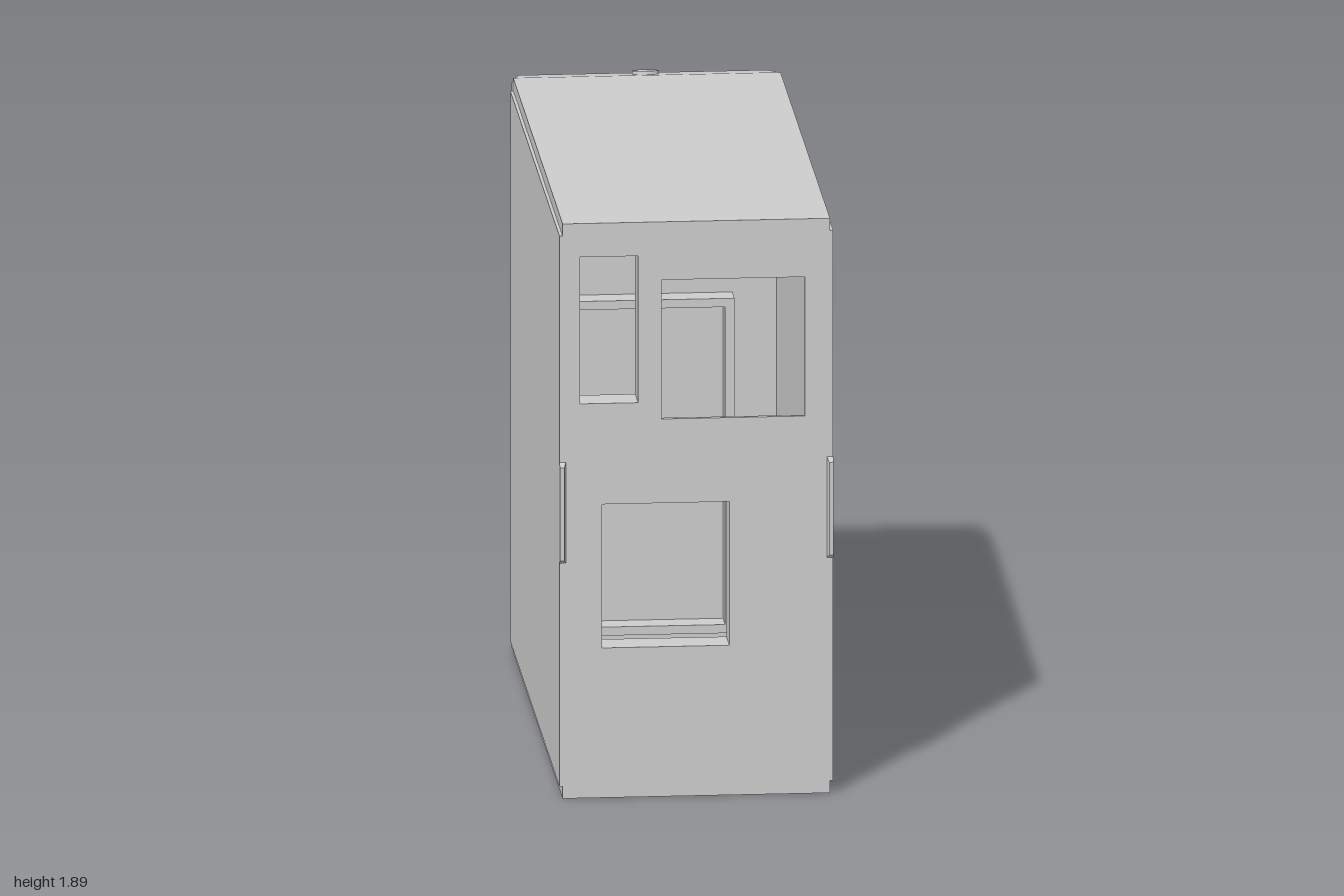
import * as THREE from 'three';

const mat = new THREE.MeshStandardMaterial({ color: 0xcccccc, flatShading: true });

export function createModel() {
  const root = new THREE.Group();
  root.name = 'computerCase';

  const add = (name, geo, x = 0, y = 0, z = 0) => {
    const m = new THREE.Mesh(geo, mat);
    m.name = name;
    m.position.set(x, y, z);
    root.add(m);
    return m;
  };
  // box given by its limits on each axis
  const box = (name, [x0, x1], [y0, y1], [z0, z1]) =>
    add(name, new THREE.BoxGeometry(x1 - x0, y1 - y0, z1 - z0), (x0 + x1) / 2, (y0 + y1) / 2, (z0 + z1) / 2);
  const rect = ([x0, x1, y0, y1], g = 0) => [
    [x0 - g, y0 - g], [x1 + g, y0 - g], [x1 + g, y1 + g], [x0 - g, y1 + g],
  ].map(p => new THREE.Vector2(...p));
  // flat outline with holes, extruded towards +z
  const plate = (outline, holes, depth) => {
    const s = new THREE.Shape(outline);
    holes.forEach(h => s.holes.push(new THREE.Path(rect(h))));
    return new THREE.ExtrudeGeometry(s, { depth, bevelEnabled: false });
  };

  // hollow chassis
  box('topShell', [-0.425, 0.425], [1.84, 1.88], [-0.87, 0.965]);
  box('bottomShell', [-0.425, 0.425], [0, 0.04], [-0.87, 0.965]);
  box('innerFrontWall', [-0.41, 0.41], [0.04, 1.84], [-0.87, -0.85]);

  // wall with the connector, fan and power openings
  const slot = [-0.37, -0.185, 1.29, 1.77];
  const fanOpening = [-0.11, 0.345, 1.235, 1.69];
  const powerOpening = [-0.3, 0.105, 0.49, 0.96];
  add('connectorWall', plate(rect([-0.425, 0.425, 0, 1.88]), [slot, fanOpening, powerOpening], 0.015), 0, 0, 0.965);
  for (const h of [slot, powerOpening])
    add('openingLip', plate(rect(h, 0.01), [h], 0.1), 0, 0, 0.87);

  // side walls, raised side panels and their pull tabs
  for (const s of [-1, 1]) {
    const span = (a, b) => (s > 0 ? [a, b] : [-b, -a]);
    box('sideWall', span(0.41, 0.425), [0.04, 1.84], [-0.87, 0.965]);
    box('sidePanel', span(0.425, 0.435), [0.04, 1.84], [-0.86, 0.98]);
    const tab = new THREE.BoxGeometry(0.02, 0.33, 0.02);
    const p = tab.attributes.position;
    for (let i = 0; i < p.count; i++)
      if (p.getZ(i) > 0) {
        p.setY(i, p.getY(i) * 0.92);
        if (p.getX(i) * s < 0) p.setX(i, -0.004 * s);
      }
    add('pullTab', tab, 0.425 * s, 0.935, 0.99);
  }

  // chamfered bezel, widening from its face to the chassis
  const half = [[0.375, 0.03], [0.41, 0.065], [0.41, 1.84], [0.395, 1.855]];
  const wide = [[0.42, 0], [0.43, 0.015], [0.43, 1.865], [0.42, 1.88]];
  const outline = [...half, ...half.map(([x, y]) => [-x, y]).reverse()].map(p => new THREE.Vector2(...p));
  const bezel = plate(outline, [[-0.385, 0.385, 0.095, 1.795]], 0.13);
  const bp = bezel.attributes.position;
  for (let i = 0; i < bp.count; i++) {
    if (bp.getZ(i) < 0.06) continue;
    const k = half.findIndex(([x, y]) => Math.abs(Math.abs(bp.getX(i)) - x) < 1e-4 && Math.abs(bp.getY(i) - y) < 1e-4);
    if (k >= 0) bp.setXY(i, Math.sign(bp.getX(i)) * wide[k][0], wide[k][1]);
  }
  bezel.computeVertexNormals();
  add('bezel', bezel, 0, 0, -1);
  box('bezelBacking', [-0.385, 0.385], [0.095, 1.795], [-0.975, -0.87]);
  box('doorPanel', [-0.372, 0.372], [0.112, 1.778], [-0.995, -0.97]);

  // power button on the sloping bezel top
  const button = add('powerButton', new THREE.CylinderGeometry(0.042, 0.042, 0.02, 32), 0, 1.87, -0.93);
  button.rotation.x = -Math.atan(0.025 / 0.13);

  // two square frames inside, behind the bezel
  for (const y of [0.075, 0.63])
    add('innerFrame', plate(rect([-0.27, 0.27, y, y + 0.54]), [[-0.24, 0.24, y + 0.028, y + 0.512]], 0.08), 0, 0, -0.85);

  return root;
}
